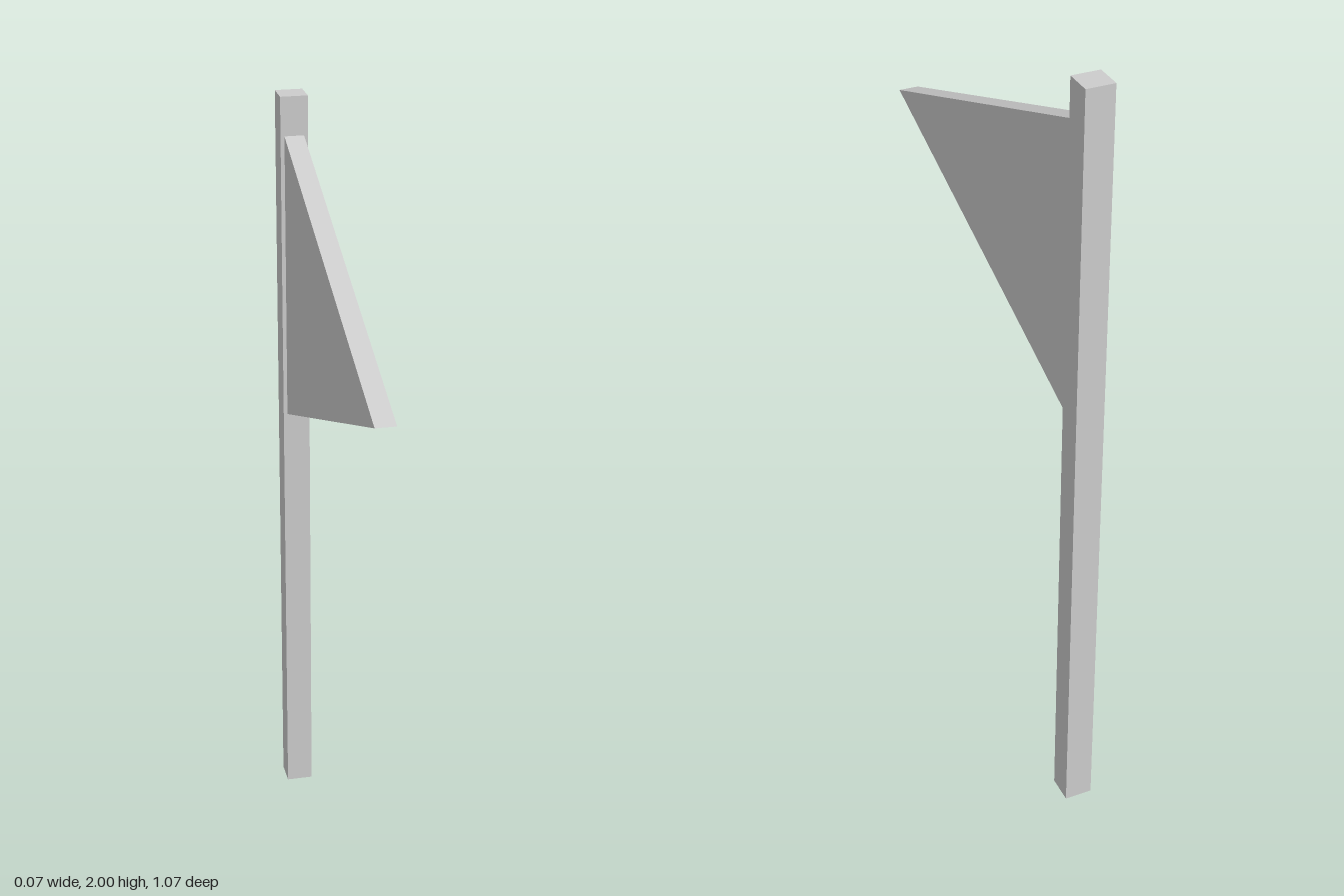
import * as THREE from 'three';

const material = new THREE.MeshStandardMaterial({ color: 0xcccccc, flatShading: true, side: THREE.DoubleSide });

// Square pole, open at the bottom
function createPole() {
  const width = 0.07, height = 2;
  const geometry = new THREE.BoxGeometry(width, height, width);
  const index = Array.from(geometry.index.array);
  index.splice(18, 6); // drop the underside
  geometry.setIndex(index);
  geometry.clearGroups();
  const pole = new THREE.Mesh(geometry, material);
  pole.name = 'pole';
  pole.position.set(0, height / 2, -0.498);
  return pole;
}

// Triangular pennant, drawn in the z-y plane and extruded across x
function createPennant() {
  const thickness = 0.05;
  const shape = new THREE.Shape([
    new THREE.Vector2(-0.463, 1.15),
    new THREE.Vector2(0.533, 1.525),
    new THREE.Vector2(-0.463, 1.9),
  ]);
  const geometry = new THREE.ExtrudeGeometry(shape, { depth: thickness, bevelEnabled: false });
  geometry.translate(0, 0, -thickness / 2);
  geometry.rotateY(-Math.PI / 2);
  const pennant = new THREE.Mesh(geometry, material);
  pennant.name = 'pennant';
  return pennant;
}

export function createModel() {
  const group = new THREE.Group();
  group.name = 'pennantFlag';
  group.add(createPole(), createPennant());
  return group;
}
